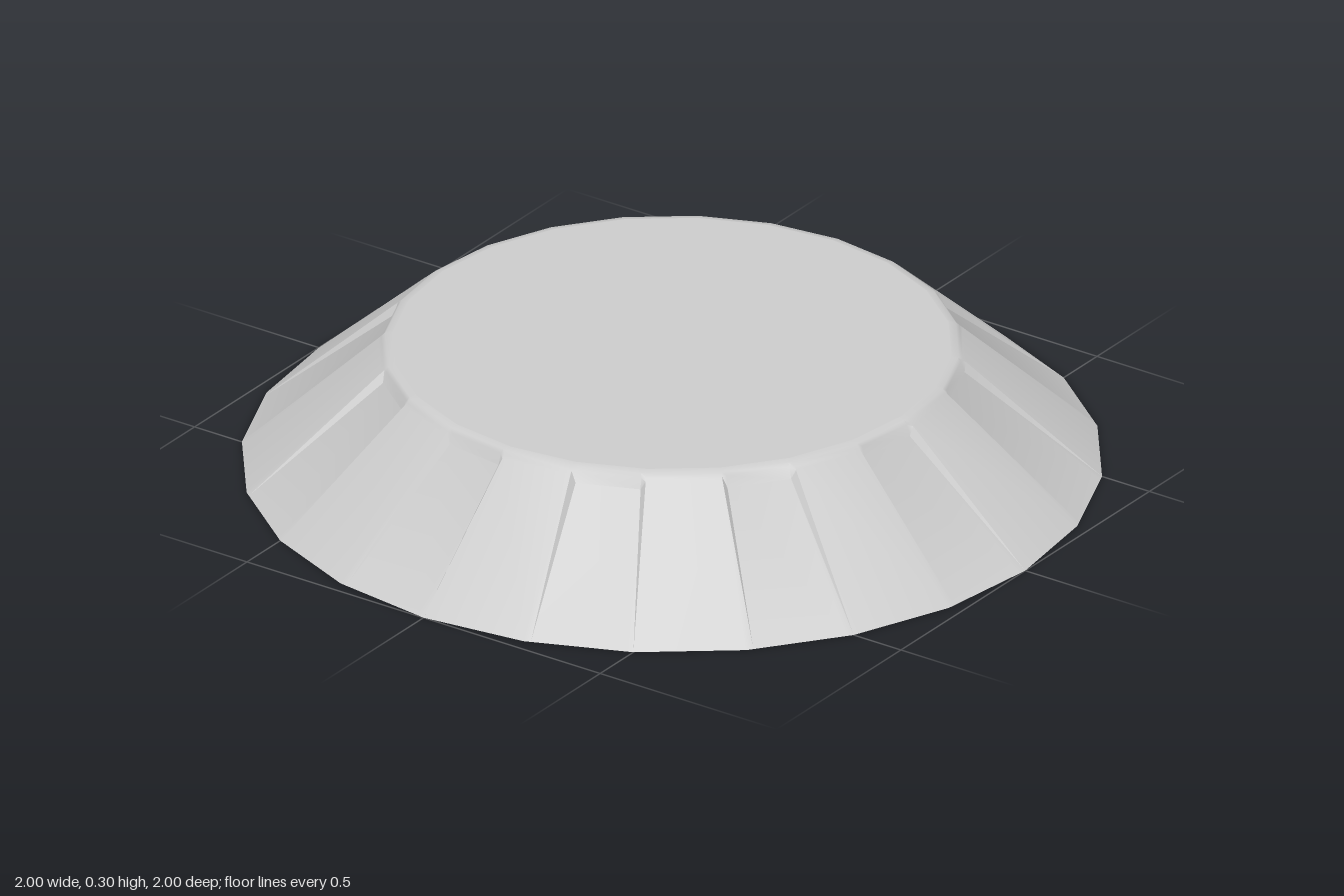
import * as THREE from 'three';
import { toCreasedNormals } from 'three/addons/utils/BufferGeometryUtils.js';

const SECTORS = 12, STEP = 30;
const rad = THREE.MathUtils.degToRad;

// Repeats [angle, profile] columns around the axis; each profile is a list of [radius, height].
function columnsAround(sector) {
  const columns = [];
  for (let s = 0; s < SECTORS; s++) {
    for (const [angle, profile] of sector) {
      const t = rad(s * STEP + angle);
      columns.push(profile.map(([r, y]) => new THREE.Vector3(r * Math.cos(t), y, r * Math.sin(t))));
    }
  }
  return columns;
}

// Closed skin through neighbouring columns.
function skin(columns, crease) {
  const rows = columns[0].length, n = columns.length, index = [];
  for (let i = 0; i < n; i++) {
    for (let j = 0; j < rows - 1; j++) {
      const a = i * rows + j, b = ((i + 1) % n) * rows + j;
      index.push(a, b, a + 1, b, b + 1, a + 1);
    }
  }
  const geometry = new THREE.BufferGeometry().setFromPoints(columns.flat());
  geometry.setIndex(index);
  return toCreasedNormals(geometry, rad(crease));
}

// Outline of one row of columns, in the x/z plane.
const outline = (columns, row) => columns.map(c => new THREE.Vector2(c.at(row).x, c.at(row).z));

export function createModel() {
  const group = new THREE.Group();
  const material = new THREE.MeshStandardMaterial({ color: 0xcccccc });
  const add = (name, geometry) => {
    const mesh = new THREE.Mesh(geometry, material);
    mesh.name = name;
    group.add(mesh);
    return mesh;
  };

  // Sloping outer wall: flat ridges alternate with grooves that fade out at the base
  const ridge = [[0.65, 0.3], [0.667, 0.297], [0.676, 0.289], [0.683, 0.283], [1, 0]];
  const groove = [[0.65, 0.3], [0.667, 0.297], [0.674, 0.289], [0.683, 0.262], [1, 0]];
  const onChord = (profile, angle) => {
    const k = Math.cos(rad(7.5)) / Math.cos(rad(angle - 7.5));
    return profile.map(([r, y]) => [r * k, y]);
  };
  const outer = columnsAround([
    [0, ridge], [1, onChord(groove, 1)], [14, onChord(groove, 14)], [15, ridge],
  ]);
  add('groovedOuterWall', skin(outer, 40));

  // Flat top
  const top = new THREE.CircleGeometry(0.65, 24);
  top.rotateX(-Math.PI / 2);
  add('topPlate', top).position.y = 0.3;

  // Hollow underside: a rib stands behind each groove
  const wall = [[0.95, 0], [0.665, 0.241], [0.645, 0.258]];
  const rib = [[0.89, 0], [0.63, 0.202], [0.645, 0.258]];
  const inner = columnsAround([[-1.8, wall], [0.75, rib], [14.25, rib], [16.8, wall]]);
  add('ribbedInnerWall', skin(inner, 28));

  const ceiling = new THREE.ShapeGeometry(new THREE.Shape(outline(inner, -1)));
  ceiling.rotateX(Math.PI / 2);
  add('ceiling', ceiling).position.y = 0.258;

  // Flat rim the model stands on
  const rimShape = new THREE.Shape(outline(outer, -1));
  rimShape.holes.push(new THREE.Path(outline(inner, 0)));
  const rim = new THREE.ShapeGeometry(rimShape);
  rim.rotateX(Math.PI / 2);
  add('baseRim', rim);

  return group;
}
